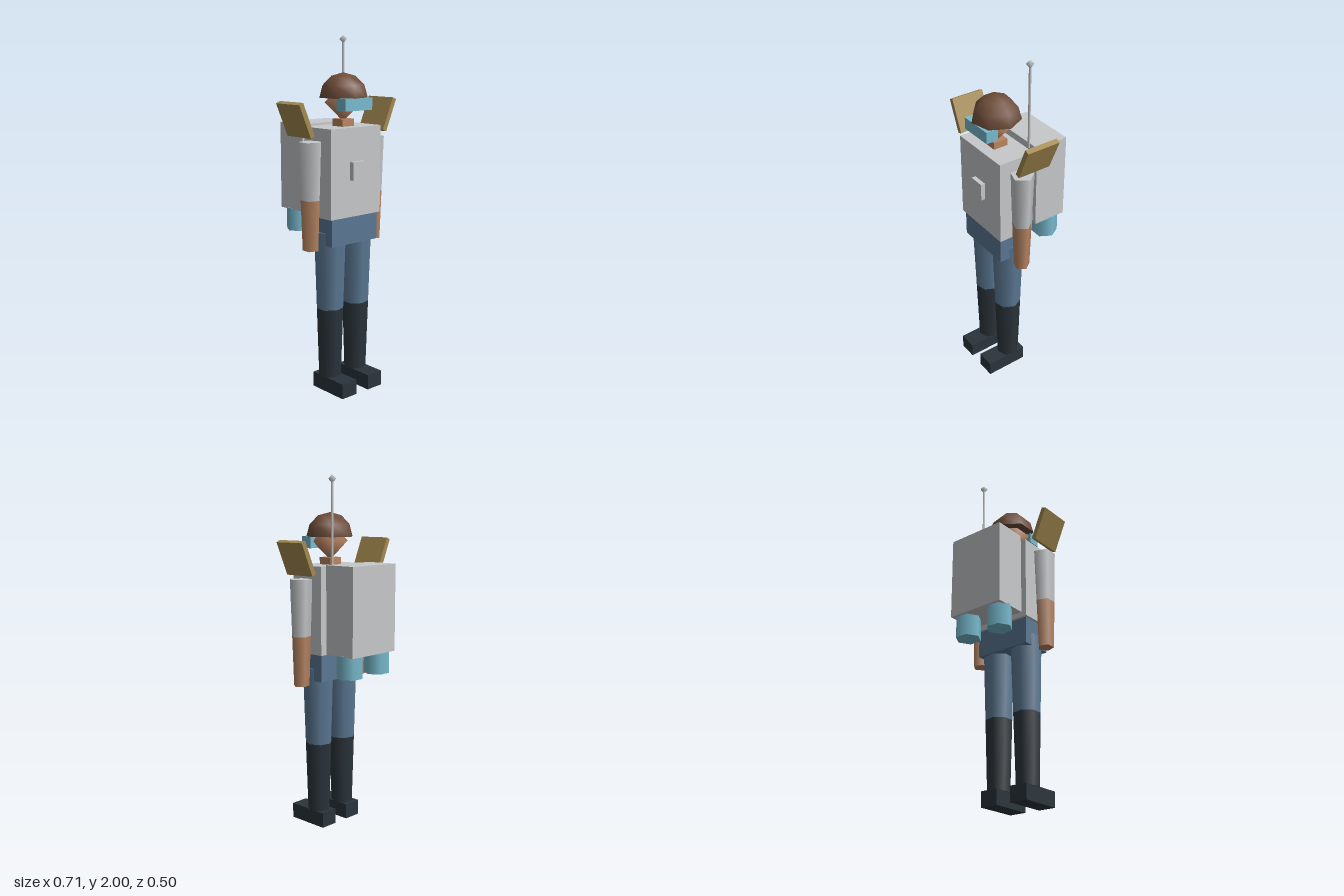
import * as THREE from 'three';

const mat = (name, color) => new THREE.MeshStandardMaterial({ name, color });

export function createModel() {
  const grey = mat('light grey', 0xc6c8ca);
  const skin = mat('skin', 0xb98663);
  const denim = mat('blue cloth', 0x5b7893);
  const dark = mat('dark boot', 0x2b343b);
  const brown = mat('brown helmet', 0x6f4d3a);
  const gold = mat('gold plate', 0xa48a50);
  const cyan = mat('cyan', 0x79bbd0);

  const model = new THREE.Group();
  model.name = 'jetpackFigure';
  const bodyZ = 0.083;

  function add(name, geometry, material, x, y, z) {
    const mesh = new THREE.Mesh(geometry, material);
    mesh.name = name;
    mesh.position.set(x, y, z);
    model.add(mesh);
    return mesh;
  }

  // box given by its limits on each axis
  function box(name, material, [x0, x1], [y0, y1], [z0, z1]) {
    return add(name, new THREE.BoxGeometry(x1 - x0, y1 - y0, z1 - z0), material,
      (x0 + x1) / 2, (y0 + y1) / 2, (z0 + z1) / 2);
  }

  // upright tapered tube with one corner pointing to +x
  function tube(name, material, sides, x, z, yTop, rTop, yBottom, rBottom) {
    const g = new THREE.CylinderGeometry(rTop, rBottom, yTop - yBottom, sides, 1, false, Math.PI / 2);
    return add(name, g, material, x, (yTop + yBottom) / 2, z);
  }

  // two-coloured limb, split at ySplit along one straight taper
  function limb(names, materials, sides, x, yTop, rTop, ySplit, yBottom, rBottom) {
    const t = (ySplit - yBottom) / (yTop - yBottom);
    const rSplit = rBottom + (rTop - rBottom) * t;
    tube(names[0], materials[0], sides, x, bodyZ, yTop, rTop, ySplit, rSplit);
    tube(names[1], materials[1], sides, x, bodyZ, ySplit, rSplit, yBottom, rBottom);
  }

  // body
  box('torso', grey, [-0.185, 0.185], [1.02, 1.51], [-0.025, 0.19]);
  box('chestPanel', grey, [-0.045, 0.045], [1.225, 1.325], [0.19, 0.215]);
  box('pelvis', denim, [-0.17, 0.17], [0.865, 1.02], [-0.01, 0.18]);
  box('neck', skin, [-0.042, 0.042], [1.51, 1.55], [0.041, 0.125]);

  // head, helmet and goggles
  add('head', new THREE.SphereGeometry(0.105, 7, 2, Math.PI), skin, 0, 1.64, bodyZ);
  add('helmet', new THREE.SphereGeometry(0.135, 7, 3, Math.PI, Math.PI * 2, 0, Math.PI / 2),
    brown, 0, 1.665, bodyZ);
  const rim = add('helmetUnderside', new THREE.CircleGeometry(0.135, 7), brown, 0, 1.665, bodyZ);
  rim.rotation.x = Math.PI / 2;
  box('goggles', cyan, [-0.1, 0.098], [1.6, 1.666], [0.14, 0.21]);

  // backpack and antenna
  box('backpack', grey, [-0.175, 0.175], [1.03, 1.52], [-0.25, -0.055]);
  tube('antennaRod', grey, 5, 0.117, -0.045, 1.98, 0.007, 1.5, 0.007);
  add('antennaTip', new THREE.SphereGeometry(0.023, 5, 2, Math.PI), grey, 0.117, 1.977, -0.045);

  // paired parts
  for (const [side, s] of [['left', 1], ['right', -1]]) {
    limb([side + 'Trouser', side + 'BootShaft'], [denim, dark], 7,
      s * 0.098, 0.935, 0.09, 0.49, 0.085, 0.064);
    limb([side + 'Sleeve', side + 'Forearm'], [grey, skin], 5,
      s * 0.235, 1.44, 0.066, 1.125, 0.845, 0.046);
    const c = s * 0.0985;
    box(side + 'Foot', dark, [c - 0.053, c + 0.053], [0, 0.087], [0, 0.25]);
    tube(side + 'Thruster', cyan, 6, s * 0.112, -0.17, 1.035, 0.073, 0.905, 0.073);

    // shoulder plate leaning outwards
    const plate = add(side + 'ShoulderPlate', new THREE.BoxGeometry(0.028, 0.194, 0.195),
      gold, s * 0.305, 1.559, 0.0425);
    plate.rotation.z = -s * 0.405;
  }
  return model;
}
